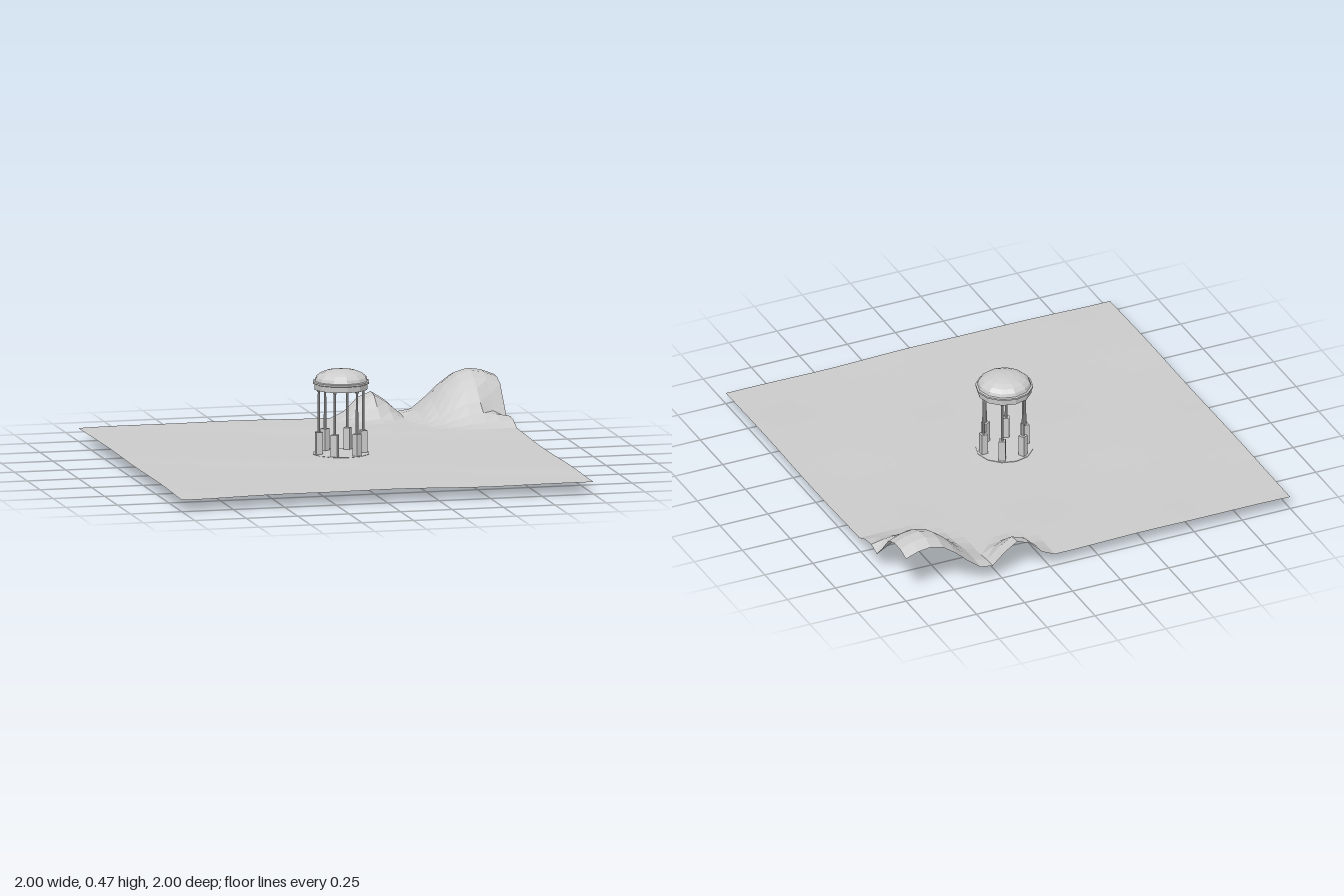
import * as THREE from 'three';

const GROUND = 0.062;
const mat = new THREE.MeshStandardMaterial({ color: 0xcccccc, flatShading: true, side: THREE.DoubleSide });

function add(parent, name, geometry, x = 0, y = 0, z = 0) {
  const mesh = new THREE.Mesh(geometry, mat);
  mesh.name = name;
  mesh.position.set(x, y, z);
  parent.add(mesh);
  return mesh;
}

// Rounded hill: cosine falloff inside an ellipse
function hill(x, z, cx, cz, rx, rz, height) {
  const d = Math.hypot((x - cx) / rx, (z - cz) / rz);
  return d < 1 ? height * (0.5 + 0.5 * Math.cos(Math.PI * d)) : 0;
}

function terrainHeight(x, z) {
  const ripple = 0.0025 * Math.sin(4.1 * x + 2.3 * z) + 0.002 * Math.sin(6.3 * z - 2.7 * x + 1)
    + 0.0015 * Math.sin(9 * x + 5 * z + 2);
  let y = GROUND + ripple - 0.002 * z;
  // small back hill, large corner hill with a longer shoulder on its outer side
  y += hill(x, z, 0.41, -0.98, 0.18, 0.22, 0.12);
  y += hill(x, z, 0.87, -0.91, x > 0.87 ? 0.5 : 0.34, 0.44, 0.222);
  // hollow and knoll on the outer edge of the corner hill
  y -= hill(x, z, 1, -0.68, 0.16, 0.13, 0.07);
  y += hill(x, z, 1, -0.6, 0.14, 0.11, 0.03);
  return y;
}

function createTerrain(parent) {
  const geometry = new THREE.PlaneGeometry(2, 2, 31, 31).rotateX(-Math.PI / 2);
  const p = geometry.attributes.position;
  for (let i = 0; i < p.count; i++) p.setY(i, terrainHeight(p.getX(i), p.getZ(i)));
  geometry.computeVertexNormals();
  add(parent, 'terrain', geometry);
}

function lathe(points, sides = 12) {
  return new THREE.LatheGeometry(points.map(([r, y]) => new THREE.Vector2(r, y)), sides);
}

function createPavilion(parent) {
  const pavilion = new THREE.Group();
  pavilion.name = 'pavilion';
  pavilion.position.set(0.03, 0, -0.022);
  parent.add(pavilion);

  // Hollow base, open underneath
  add(pavilion, 'base', lathe([[0.136, 0], [0.136, 0.066], [0, 0.066]]));

  // Six columns on square pedestals
  for (let i = 0; i < 6; i++) {
    const support = new THREE.Group();
    support.name = 'columnSupport';
    support.rotation.y = i * Math.PI / 3;
    add(support, 'pedestal', new THREE.BoxGeometry(0.031, 0.125, 0.031), 0.108, 0.1075, 0);
    add(support, 'column', new THREE.CylinderGeometry(0.005, 0.007, 0.2, 8), 0.108, 0.27, 0);
    add(support, 'capital', new THREE.CylinderGeometry(0.011, 0.006, 0.012, 8), 0.108, 0.367, 0);
    pavilion.add(support);
  }

  // Beam ring with a projecting cornice
  add(pavilion, 'entablature', lathe([
    [0, 0.373], [0.128, 0.373], [0.13, 0.4], [0.137, 0.403], [0.137, 0.411], [0.128, 0.414],
  ]));

  // Shallow dome
  const dome = [];
  for (let i = 0; i <= 5; i++) {
    const a = i / 5 * Math.PI / 2;
    dome.push([0.128 * Math.cos(a), 0.412 + 0.057 * Math.sin(a)]);
  }
  add(pavilion, 'dome', lathe(dome));
}

export function createModel() {
  const model = new THREE.Group();
  model.name = 'pavilionLandscape';
  createTerrain(model);
  createPavilion(model);
  return model;
}
